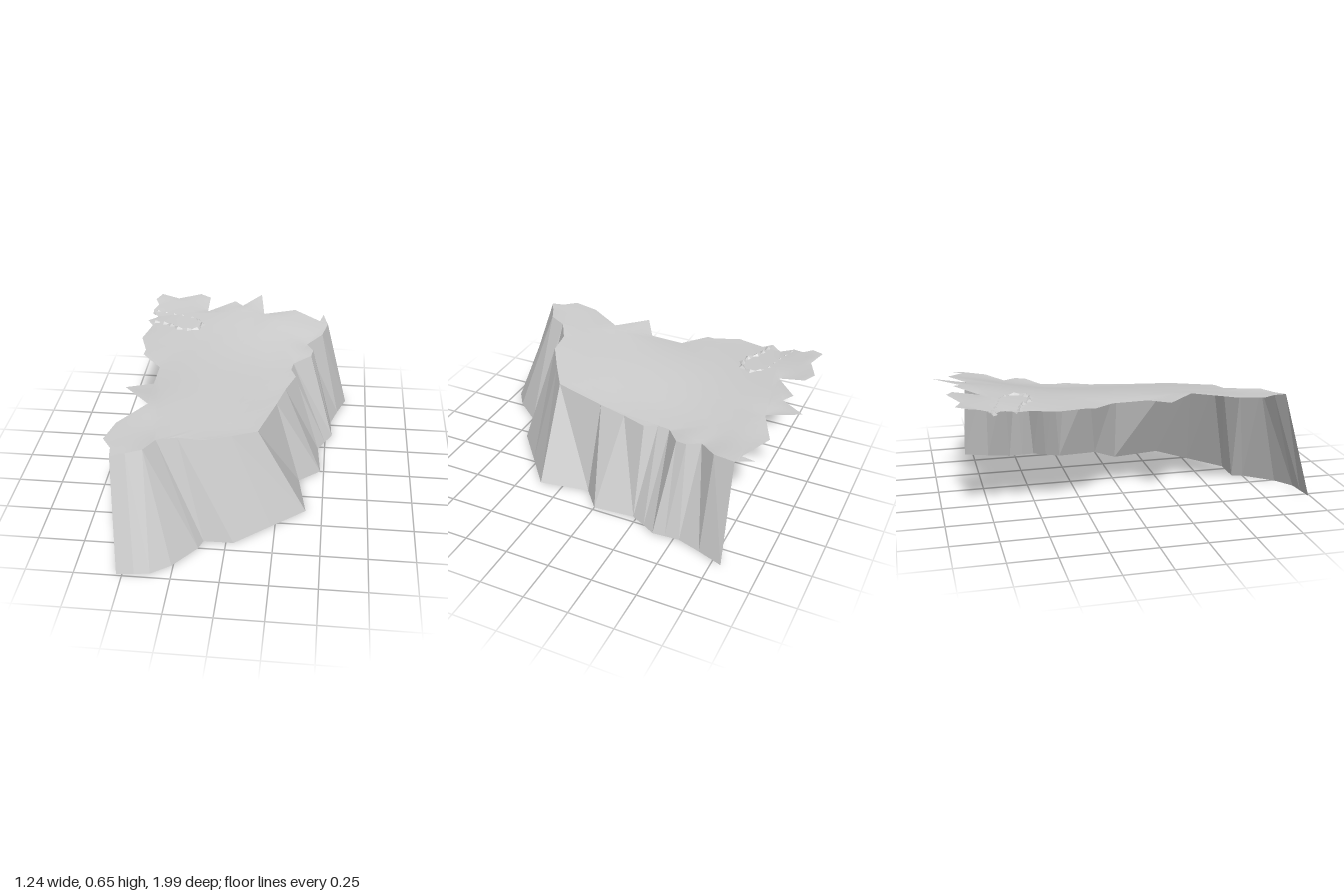
import * as THREE from 'three';
import { mergeVertices } from 'three/addons/utils/BufferGeometryUtils.js';

// Cliff face columns: top x, y, z and foot x, z (front left to back right)
const CLIFF = [
  [-0.56, 0.605, 0.81, -0.53, 0.99], [-0.49, 0.6, 0.77, -0.44, 0.98],
  [-0.41, 0.6, 0.73, -0.36, 0.97], [-0.41, 0.6, 0.73, -0.26, 0.9],
  [-0.36, 0.595, 0.63, -0.14, 0.75], [-0.26, 0.575, 0.57, -0.12, 0.69],
  [-0.13, 0.56, 0.56, 0.04, 0.69], [0.01, 0.535, 0.47, 0.23, 0.53],
  [0.14, 0.513, 0.38, 0.41, 0.38], [0.22, 0.503, 0.08, 0.36, 0.1],
  [0.26, 0.502, -0.08, 0.48, 0], [0.31, 0.506, -0.22, 0.46, -0.23],
  [0.28, 0.51, -0.29, 0.46, -0.23], [0.29, 0.512, -0.36, 0.5, -0.31],
  [0.39, 0.525, -0.44, 0.54, -0.38], [0.4, 0.53, -0.5, 0.535, -0.45],
  [0.36, 0.53, -0.57, 0.53, -0.53], [0.45, 0.55, -0.67, 0.57, -0.66],
  [0.48, 0.563, -0.79, 0.62, -0.8],
];

// Ragged open edge of the plateau: back right, round the back, down the left
const EDGE = [
  [0.475, 0.565, -0.8], [0.45, 0.575, -0.89], [0.43, 0.57, -0.81], [0.27, 0.595, -0.9],
  [0.08, 0.603, -0.81], [0.05, 0.643, -1], [-0.06, 0.628, -0.86], [-0.11, 0.638, -0.9],
  [-0.27, 0.623, -0.77], [-0.27, 0.648, -0.915], [-0.335, 0.653, -0.95],
  [-0.47, 0.645, -0.89], [-0.58, 0.654, -0.925], [-0.61, 0.648, -0.86],
  [-0.585, 0.635, -0.81], [-0.61, 0.625, -0.75], [-0.57, 0.615, -0.68],
  [-0.62, 0.62, -0.62], [-0.585, 0.612, -0.57], [-0.62, 0.61, -0.41],
  [-0.575, 0.602, -0.28], [-0.58, 0.6, -0.23], [-0.465, 0.588, -0.11],
  [-0.465, 0.592, 0.08], [-0.605, 0.612, 0.165], [-0.455, 0.612, 0.32],
  [-0.585, 0.612, 0.52], [-0.62, 0.612, 0.67], [-0.57, 0.607, 0.74],
];

// Path of the small broken rim at the back left, x and z
const RIM = [
  [-0.61, -0.75], [-0.5, -0.71], [-0.42, -0.69], [-0.35, -0.67],
  [-0.29, -0.6], [-0.32, -0.54], [-0.41, -0.54], [-0.48, -0.59], [-0.6, -0.62],
];

function makeGeometry(points, triangles) {
  const g = new THREE.BufferGeometry();
  g.setAttribute('position', new THREE.Float32BufferAttribute(points.flat(), 3));
  g.setIndex(triangles.flat());
  g.computeVertexNormals();
  return g;
}

// Joins equal-length rows of points into a surface
function loft(rows) {
  const n = rows[0].length, tris = [];
  for (let i = 0; i < rows.length - 1; i++)
    for (let j = 0; j < n - 1; j++) {
      const a = i * n + j, b = a + n;
      tris.push([a, a + 1, b], [b, a + 1, b + 1]);
    }
  return makeGeometry(rows.flat(), tris);
}

// Splits every triangle in four, sharing the edge midpoints
function subdivide(points, tris) {
  const mids = new Map();
  const mid = (a, b) => {
    const key = a < b ? `${a},${b}` : `${b},${a}`;
    if (!mids.has(key)) {
      mids.set(key, points.length);
      points.push(points[a].map((v, k) => (v + points[b][k]) / 2));
    }
    return mids.get(key);
  };
  return tris.flatMap(([a, b, c]) => {
    const ab = mid(a, b), bc = mid(b, c), ca = mid(c, a);
    return [[a, ab, ca], [ab, b, bc], [ca, bc, c], [ab, bc, ca]];
  });
}

// Plateau sheet: fixed outline, interior heights blended from the outline
function plateauGeometry() {
  const tops = CLIFF.map((c) => c.slice(0, 3))
    .filter((p, i, all) => i === 0 || p[0] !== all[i - 1][0] || p[2] !== all[i - 1][2]);
  const points = [...tops, ...EDGE].map((p) => [...p]);
  const outline = points.map((p) => new THREE.Vector2(p[0], -p[2]));
  let tris = THREE.ShapeUtils.triangulateShape(outline, []);
  for (let i = 0; i < 3; i++) tris = subdivide(points, tris);

  const uses = new Map();
  for (const t of tris)
    t.forEach((a, k) => {
      const b = t[(k + 1) % 3], key = Math.min(a, b) + ',' + Math.max(a, b);
      uses.set(key, (uses.get(key) || 0) + 1);
    });
  const border = new Set();
  for (const [key, n] of uses) if (n === 1) key.split(',').forEach((v) => border.add(+v));

  points.forEach((p, i) => {
    if (border.has(i)) return;
    let sum = 0, total = 0;
    for (const b of border) {
      const q = points[b];
      const w = 1 / ((p[0] - q[0]) ** 2 + (p[2] - q[2]) ** 2 + 1e-6) ** 1.25;
      sum += w * q[1];
      total += w;
    }
    p[1] = sum / total;
  });
  // Make every triangle face upward
  tris = tris.map(([a, b, c]) => {
    const [p, q, r] = [points[a], points[b], points[c]];
    const up = (q[2] - p[2]) * (r[0] - p[0]) - (q[0] - p[0]) * (r[2] - p[2]);
    return up >= 0 ? [a, b, c] : [a, c, b];
  });
  return mergeVertices(makeGeometry(points, tris));
}

// Jagged strip: outer foot, raised crest, dipped inner lip
function rimGeometry() {
  const curve = new THREE.CatmullRomCurve3(RIM.map(([x, z]) => new THREE.Vector3(x, 0, z)));
  const rows = [];
  const n = 26;
  for (let i = 0; i <= n; i++) {
    const p = curve.getPointAt(i / n), t = curve.getTangentAt(i / n);
    const jag = i % 2 ? 1 : 0.35;
    const at = (d, y) => [p.x + t.z * d, y, p.z - t.x * d];
    rows.push([
      at(0.026 * jag, 0.617), at(0.006, 0.617 + 0.013 * jag), at(-0.022 * jag, 0.605),
    ]);
  }
  return loft(rows);
}

export function createModel() {
  const group = new THREE.Group();
  const rock = (name, geometry, flatShading) => {
    const material = new THREE.MeshStandardMaterial({
      color: 0xcccccc, side: THREE.DoubleSide, flatShading,
    });
    const mesh = new THREE.Mesh(geometry, material);
    mesh.name = name;
    group.add(mesh);
  };
  rock('plateau', plateauGeometry(), false);
  rock('cliffFace', loft(CLIFF.map(([x, y, z, fx, fz]) => [[x, y, z], [fx, 0, fz]])
    .reverse()), true);
  rock('brokenRim', rimGeometry(), true);
  return group;
}
